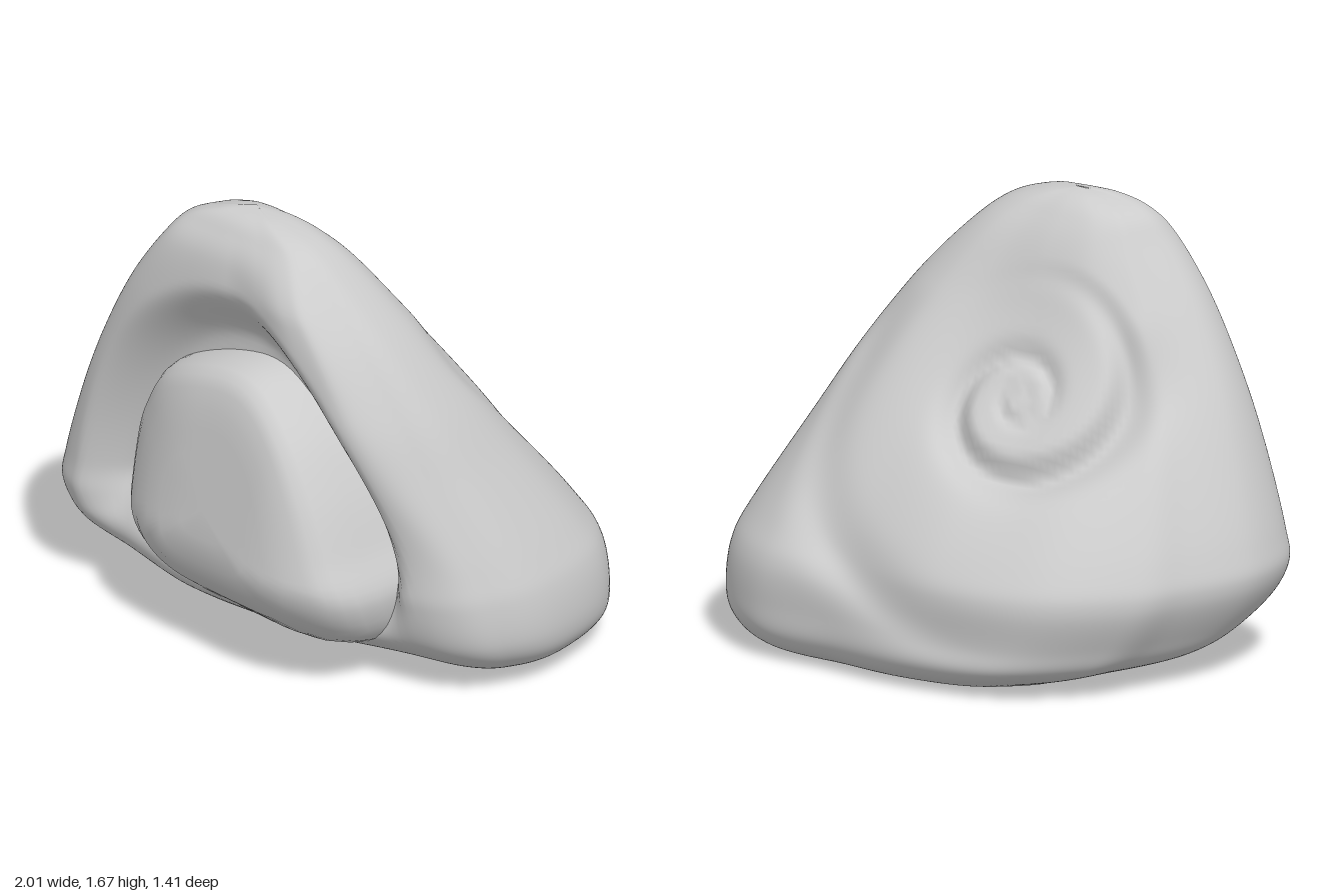
import * as THREE from 'three';
import { mergeVertices } from 'three/addons/utils/BufferGeometryUtils.js';

const V = (x, y, z) => new THREE.Vector3(x, y, z);
const step = THREE.MathUtils.smoothstep;
const curve = (pts, closed) => new THREE.CatmullRomCurve3(pts, closed, 'catmullrom', 0.5);

// Skin a stack of closed rings with equal point counts
function loft(name, rings) {
  const n = rings[0].length, index = [];
  for (let k = 0; k < rings.length - 1; k++) {
    for (let j = 0; j < n; j++) {
      const a = k * n + j, b = k * n + (j + 1) % n;
      index.push(a, b, a + n, b, b + n, a + n);
    }
  }
  let geo = new THREE.BufferGeometry().setFromPoints(rings.flat());
  geo.setIndex(index);
  geo = mergeVertices(geo, 1e-5);
  geo.computeVertexNormals();
  const mesh = new THREE.Mesh(geo, new THREE.MeshStandardMaterial({ color: 0xcccccc }));
  mesh.name = name;
  return mesh;
}

// Height, left and right limits, back and front limits of the shell
const LEVELS = [
  [0, 0.1, 0.1, -0.2, -0.2], [0, -0.42, 0.62, -0.5, 0.1], [0.03, -0.58, 0.82, -0.63, 0.22],
  [0.1, -0.8, 0.94, -0.69, 0.39], [0.2, -0.91, 0.99, -0.7, 0.52], [0.36, -1, 0.98, -0.69, 0.58],
  [0.5, -0.98, 0.93, -0.61, 0.58], [0.8, -0.86, 0.79, -0.4, 0.58], [1.05, -0.74, 0.67, -0.22, 0.57],
  [1.3, -0.59, 0.51, -0.05, 0.555], [1.5, -0.44, 0.33, 0.08, 0.52], [1.6, -0.35, 0.2, 0.17, 0.46],
  [1.65, -0.22, 0.05, 0.24, 0.4], [1.67, -0.1, -0.1, 0.31, 0.31],
];

// Horizontal outline of the shell, in units of its limits
const OUTLINE = [
  [-1, 0.42], [-0.93, -0.06], [-0.85, -0.4], [-0.6, -0.79], [-0.2, -0.97], [0.2, -0.99],
  [0.58, -1], [0.87, -0.7], [1, -0.15], [0.98, 0.25], [0.83, 0.58], [0.4, 0.75],
  [0, 0.88], [-0.4, 0.96], [-0.77, 1], [-0.93, 0.85],
].reverse();

// Spiral plane on the sloping back
const axis = V(-0.45, 0.62, -0.64).normalize();
const across = V(0, 1, 0).cross(axis).normalize();
const upSlope = axis.clone().cross(across);
const eye = V(-0.25, 1.07, -0.22);

// Whorls: a logarithmic groove winding into a sunken bowl with a raised middle
function carveSpiral(p, Z) {
  const d = p.clone().sub(eye);
  const mask = step(d.dot(axis), -0.5, -0.2) * (1 - step(Z, 0.3, 0.7));
  const u = d.dot(across), v = d.dot(upSlope), rho = Math.hypot(u, v) + 1e-4;
  const turn = (Math.log(rho / 0.95) / 0.2 + 4.276 - Math.atan2(v, u)) / (Math.PI * 2);
  const t = turn - Math.floor(turn);
  const groove = t > 0.5 ? Math.exp(-(((1 - t) / 0.12) ** 2)) : Math.exp(-((t / 0.2) ** 2));
  const fade = (1 - step(rho, 0.8, 1.05)) * (1 - step(p.y, 1, 1.3) * step(rho, 0.32, 0.5));
  const depth = Math.min(0.09, 0.26 * rho) * fade;
  const bowl = 0.15 * Math.exp(-((rho / 0.43) ** 2)) * step(u, -0.55, 0.05);
  const cone = 0.06 * Math.exp(-((rho / 0.25) ** 2)) * step(u, -0.55, 0.05);
  p.addScaledVector(axis, (cone - bowl - depth * groove) * mask);
}

// Right lip leans forward with height, the base swells below the mouth,
// and the lower left corner is rounded under
function shapeFront(p, s) {
  const lean = 0.09 * (step(p.y, 0.5, 1.1) - 0.25) * (1 - step(p.y, 1.4, 1.64));
  const swell = 0.06 * step(p.y, 0, 0.12) * (1 - step(p.y, 0.25, 0.45));
  const tuck = 0.1 * (1 - step(p.y, 0, 0.3));
  const x = p.x;
  p.z += lean * step(s.x, 0, 0.7) * step(s.z, 0.3, 0.58);
  p.z += swell * step(s.z, 0.55, 0.8) * (1 - step(Math.abs(x - 0.05), 0.3, 0.75));
  p.z -= tuck * step(-s.x, 0.2, 0.8) * step(s.z, 0.5, 0.9);
}

// Arched recess around the mouth
function carveMouth(p, Z) {
  const a = Math.hypot((p.x + 0.03) / 0.74, Math.max(0, p.y - 0.3) / 1.1);
  p.z -= 0.16 * (1 - step(a, 0.78, 1.02)) * step(p.y, 0.15, 0.48) * step(Z, 0.42, 0.6);
}

function shell() {
  const xs = curve(LEVELS.map(l => V(l[1], l[0], l[2])));
  const zs = curve(LEVELS.map(l => V(l[3], l[0], l[4])));
  const section = curve(OUTLINE.map(([x, z]) => V(x, 0, z)), true);
  const rows = 130, cols = 192, rings = [];
  for (let i = 0; i <= rows; i++) {
    const X = xs.getPoint(i / rows), Zr = zs.getPoint(i / rows), ring = [];
    for (let j = 0; j < cols; j++) {
      const s = section.getPoint(j / cols);
      const p = V(
        (X.x + X.z) / 2 + s.x * (X.z - X.x) / 2,
        Math.max(0, X.y),
        (Zr.x + Zr.z) / 2 + s.z * (Zr.z - Zr.x) / 2);
      carveSpiral(p, s.z);
      shapeFront(p, s);
      carveMouth(p, s.z);
      ring.push(p);
    }
    rings.push(ring);
  }
  return loft('shell', rings);
}

// Domed plug filling the mouth
function mouthPlug() {
  const outline = curve([
    [0.64, 0.36], [0.57, 0.55], [0.47, 0.77], [0.33, 0.97], [0.13, 1.11], [-0.1, 1.11], [-0.38, 1],
    [-0.5, 0.85], [-0.56, 0.7], [-0.54, 0.45], [-0.46, 0.24], [-0.3, 0.12], [0.1, 0.1], [0.52, 0.15],
  ].map(([x, y]) => V(x, y, 0)), true);
  const front = (x, y) => 0.7 - 0.8 * Math.max(0, Math.abs(x - 0.07) - 0.2) ** 2
    - (y > 0.45 ? 0.2 * (y - 0.45) : 2.5 * (0.45 - y) ** 2);
  // Ring scale and setback from the front face
  const steps = [
    [1, 0.4], [1, 0.2], [0.99, 0.11], [0.965, 0.06], [0.92, 0.025], [0.84, 0.01],
    [0.7, 0], [0.55, 0], [0.4, 0], [0.2, 0], [0, 0],
  ];
  const rings = steps.map(([s, back]) => {
    const ring = [];
    for (let j = 0; j < 84; j++) {
      const q = outline.getPoint(j / 84);
      const x = q.x * s, y = 0.6 + (q.y - 0.6) * s;
      ring.push(V(x, y, front(x, y) - back));
    }
    return ring;
  });
  return loft('mouthPlug', rings);
}

export function createModel() {
  const model = new THREE.Group();
  model.name = 'spiralShell';
  model.add(shell(), mouthPlug());
  return model;
}
